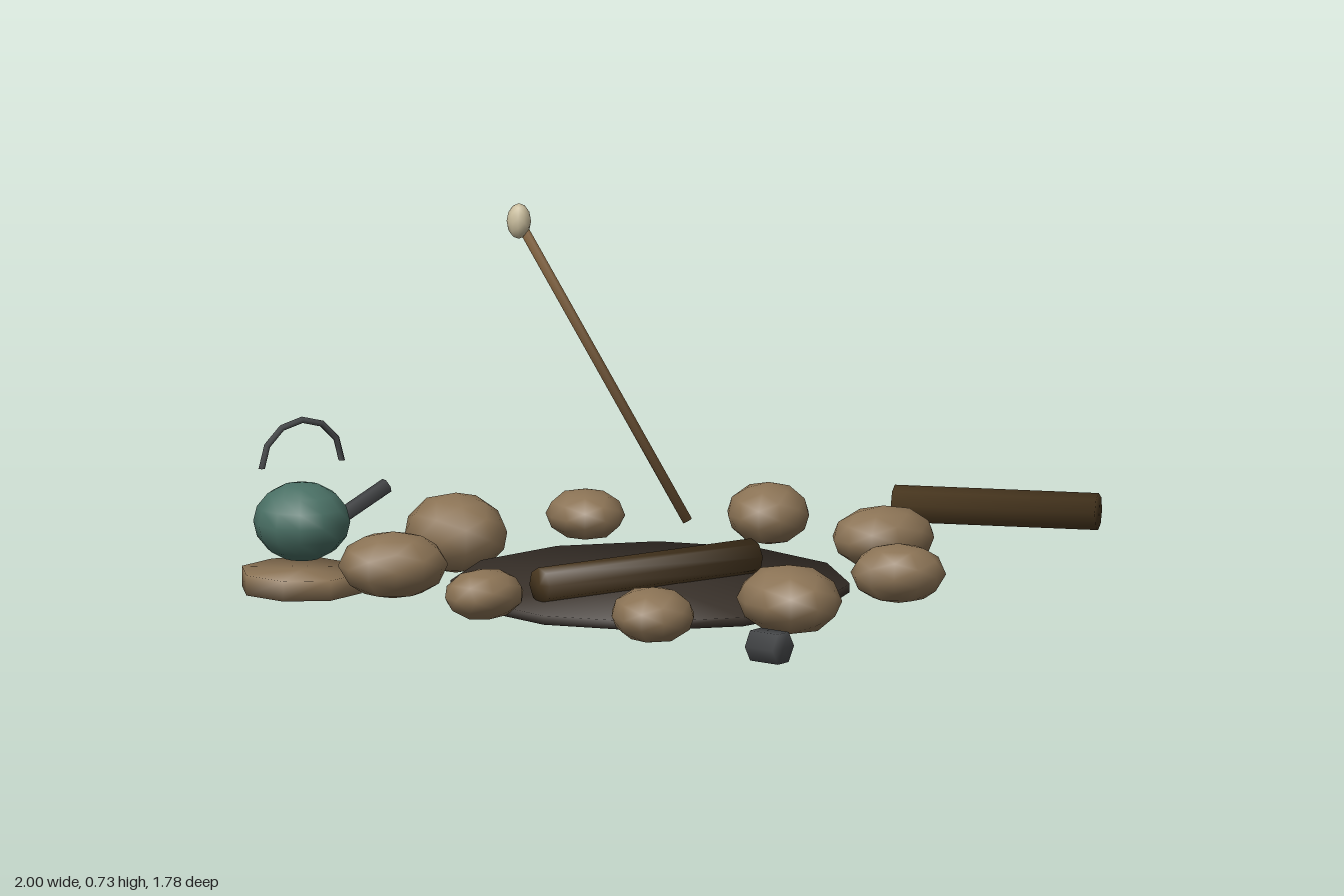
import * as THREE from 'three';

const mat = (name, color) => {
  const m = new THREE.MeshStandardMaterial({ color });
  m.name = name;
  return m;
};

// Cylinder whose normals blend softly from the caps into the sides
function softCylinder(r, h, sides, thetaStart = 0) {
  const g = new THREE.CylinderGeometry(r, r, h, sides, 1, false, thetaStart);
  const p = g.attributes.position, n = g.attributes.normal, v = new THREE.Vector3();
  for (let i = 0; i < p.count; i++) {
    v.set(p.getX(i) / r, p.getY(i) / (h / 2), p.getZ(i) / r).normalize();
    n.setXYZ(i, v.x, v.y, v.z);
  }
  return g;
}

export function createModel() {
  const root = new THREE.Group();
  root.name = 'campfireSite';
  const stone = mat('sandstone', 0x8b7355);
  const wood = mat('darkWood', 0x4a3820);
  const ash = mat('ash', 0x3a322b);
  const enamel = mat('greenEnamel', 0x4a7065);
  const iron = mat('iron', 0x4a4c4e);
  const twig = mat('twig', 0x7a5c3a);
  const cream = mat('cream', 0xc8bc9c);

  const add = (name, geometry, material, x, y, z) => {
    const m = new THREE.Mesh(geometry, material);
    m.name = name;
    m.position.set(x, y, z);
    root.add(m);
    return m;
  };

  // Straight round bar between two points
  const bar = (name, material, a, b, r, sides) => {
    const from = new THREE.Vector3(...a), to = new THREE.Vector3(...b);
    const dir = to.clone().sub(from), mid = from.clone().add(to).multiplyScalar(0.5);
    const m = add(name, softCylinder(r, dir.length(), sides), material, mid.x, mid.y, mid.z);
    m.quaternion.setFromUnitVectors(new THREE.Vector3(0, 1, 0), dir.normalize());
    return m;
  };

  // Ash bed
  add('ashBed', softCylinder(0.44, 0.02, 12), ash, -0.18, 0.04, 0);

  // Ring of stones: x, y, z, radii, turn
  const stones = [
    [-0.40, 0.09, -0.50, 0.108, 0.09, 0.125, 0.2],
    [-0.065, 0.095, -0.525, 0.085, 0.057, 0.097, 0],
    [0.285, 0.10, -0.325, 0.092, 0.07, 0.1, -0.2],
    [0.39, 0.10, 0.02, 0.118, 0.07, 0.095, -0.1],
    [0.23, 0.102, 0.395, 0.106, 0.067, 0.084, -0.6],
    [-0.115, 0.102, 0.535, 0.11, 0.077, 0.138, 0],
    [-0.455, 0.10, 0.535, 0.093, 0.062, 0.109, -0.25],
    [-0.68, 0.10, 0.165, 0.098, 0.057, 0.082, 0.4],
    [-0.72, 0.105, -0.19, 0.122, 0.075, 0.1, -0.4],
  ];
  const rock = new THREE.IcosahedronGeometry(1, 1);
  stones.forEach(([x, y, z, rx, ry, rz, turn], i) => {
    const m = add('ringStone' + (i + 1), rock, stone, x, y, z);
    m.scale.set(rx, ry, rz);
    m.rotation.y = turn;
  });

  // Logs
  bar('fireLog', wood, [-0.495, 0.085, 0.075], [0.07, 0.085, 0.01], 0.04, 8);
  bar('spareLog', wood, [0.615, 0.085, -0.355], [0.97, 0.085, -0.065], 0.041, 8);

  // Kettle on its flat stone
  add('flatStone', softCylinder(0.138, 0.045, 8), stone, -0.862, 0.056, -0.352);
  add('kettleBody', new THREE.SphereGeometry(0.107, 12, 8), enamel, -0.862, 0.187, -0.352)
    .scale.y = 0.82;
  add('kettleHandle', new THREE.TorusGeometry(0.1, 0.0075, 5, 6, Math.PI), iron, -0.862, 0.315, -0.352);
  bar('kettleSpout', iron, [-0.79, 0.175, -0.352], [-0.65, 0.248, -0.352], 0.017, 6);

  // Tin cup lying on its side
  const cup = add('cup', softCylinder(0.039, 0.077, 6, Math.PI / 2).rotateX(Math.PI / 2), iron, -0.32, 0.07, 0.83);
  cup.rotation.y = 0.43;

  // Roasting stick with a sweet on its tip
  bar('roastingStick', twig, [0.25, 0.028, -0.64], [-0.045, 0.68, -0.865], 0.011, 6);
  add('toastedSweet', new THREE.IcosahedronGeometry(1, 1), cream, -0.05, 0.69, -0.868)
    .scale.set(0.027, 0.04, 0.027);

  return root;
}
